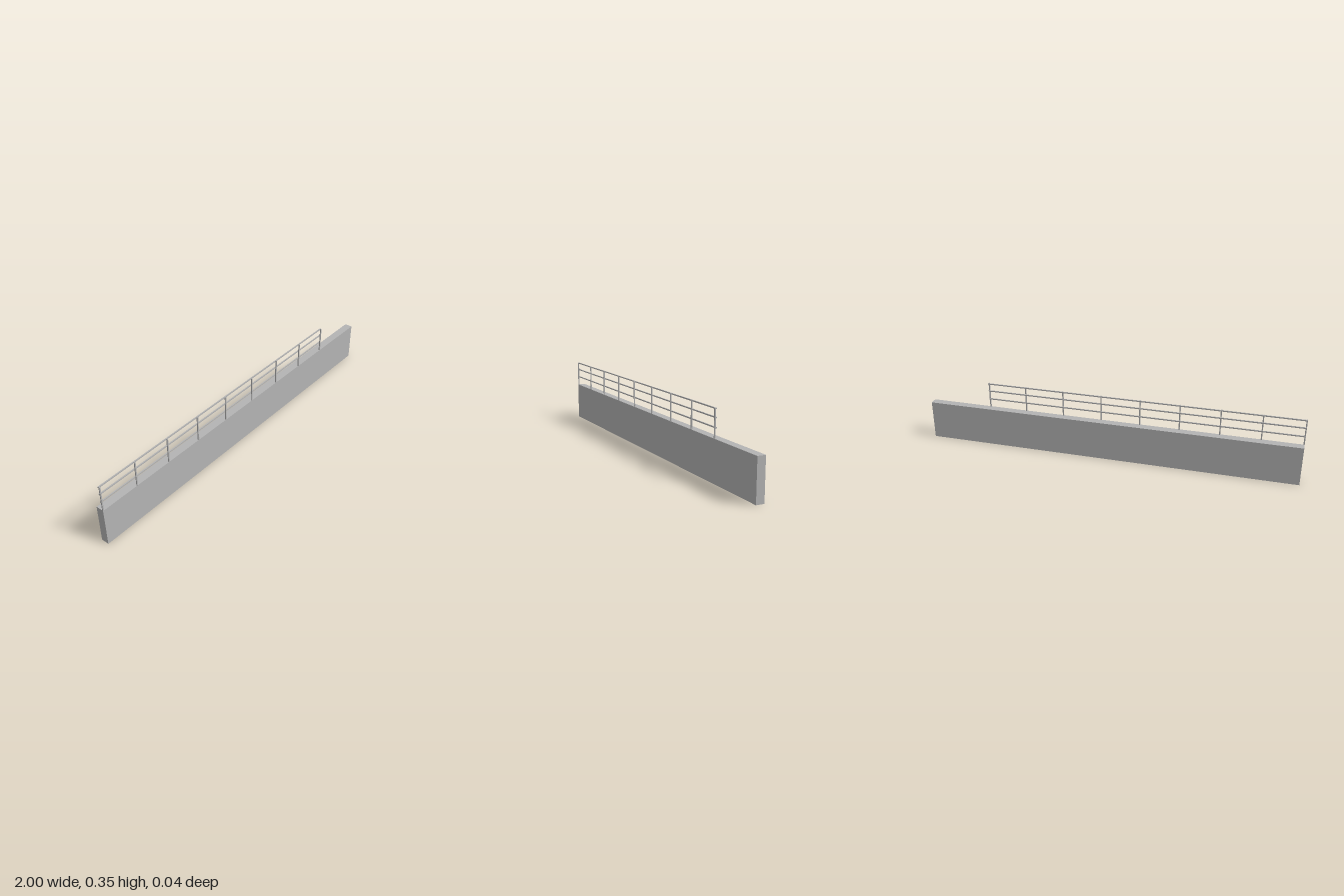
import * as THREE from 'three';

export function createModel() {
  const model = new THREE.Group();
  const grey = new THREE.MeshStandardMaterial({ color: 0xb4b4b4 });
  grey.name = 'concrete grey';

  const addBox = (name, size, position) => {
    const mesh = new THREE.Mesh(new THREE.BoxGeometry(...size), grey);
    mesh.name = name;
    mesh.position.set(...position);
    model.add(mesh);
  };

  // Solid parapet wall
  const wallTop = 0.209;
  addBox('wall', [2, wallTop, 0.042], [0, wallTop / 2, 0]);

  // Railing posts, flush with the front face of the wall
  const bar = 0.006;
  const top = 0.348;
  const first = -0.997;
  const last = 0.664;
  const bays = 8;
  for (let i = 0; i <= bays; i++) {
    const x = first + ((last - first) * i) / bays;
    addBox('post' + (i + 1), [bar, top - wallTop, bar], [x, (top + wallTop) / 2, 0.018]);
  }

  // Three horizontal rails behind the posts
  [0.345, 0.304, 0.258].forEach((y, i) => {
    addBox('rail' + (i + 1), [last - first + bar, bar, bar], [(first + last) / 2, y, 0.0125]);
  });

  return model;
}
